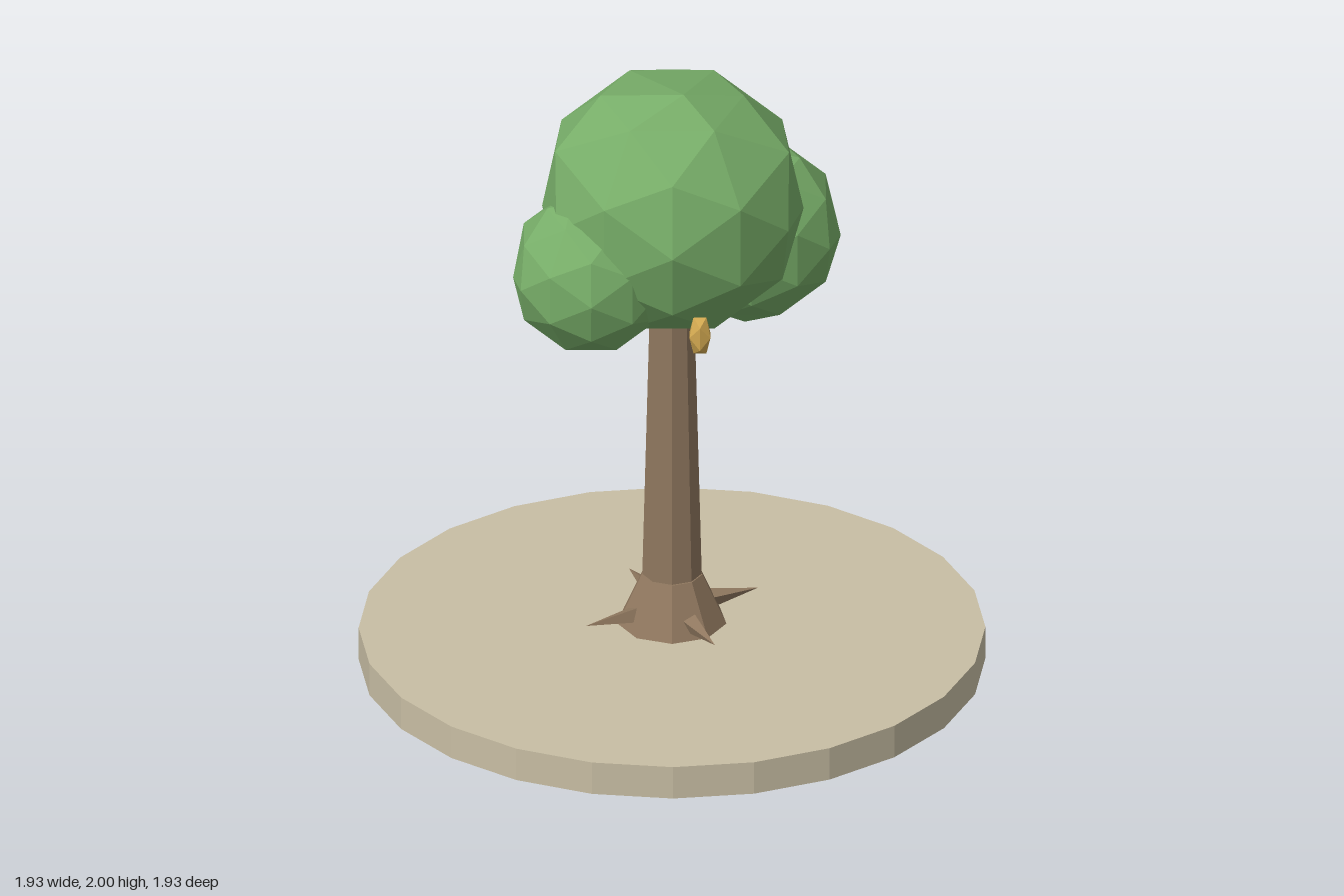
import * as THREE from 'three';

const flat = (name, color) => {
  const m = new THREE.MeshStandardMaterial({ color, flatShading: true });
  m.name = name;
  return m;
};

export function createModel() {
  const tree = new THREE.Group();
  tree.name = 'tree';
  const stone = flat('sand', 0xc8bea4);
  const bark = flat('bark', 0x90785f);
  const leaf = flat('leaf', 0x77ad68);
  const gold = flat('gold', 0xd2a850);

  const add = (name, geometry, material, x = 0, y = 0, z = 0) => {
    const mesh = new THREE.Mesh(geometry, material);
    mesh.name = name;
    mesh.position.set(x, y, z);
    tree.add(mesh);
    return mesh;
  };

  // Tapered limb between two points
  const limb = (name, from, to, r0, r1, sides) => {
    const a = new THREE.Vector3(...from), b = new THREE.Vector3(...to);
    const dir = b.clone().sub(a);
    const mesh = add(name, new THREE.CylinderGeometry(r1, r0, dir.length(), sides), bark);
    mesh.position.copy(a).add(b).multiplyScalar(0.5);
    mesh.quaternion.setFromUnitVectors(new THREE.Vector3(0, 1, 0), dir.normalize());
    return mesh;
  };

  // Round ground disc
  add('groundDisc', new THREE.CylinderGeometry(0.965, 0.965, 0.108, 24), stone, 0, 0.054, 0);

  // Trunk and its flared foot
  add('trunk', new THREE.CylinderGeometry(0.066, 0.093, 1.05, 9), bark, 0, 0.825, 0);
  add('trunkFoot', new THREE.CylinderGeometry(0.095, 0.17, 0.163, 9), bark, 0, 0.2165, 0);

  // Four pointed roots around the foot
  for (let i = 0; i < 4; i++) {
    const a = 0.46 + i * Math.PI / 2, s = Math.sin(a), c = Math.cos(a);
    limb('root', [s * 0.08, 0.18, c * 0.08], [s * 0.296, 0.178, c * 0.296], 0.04, 0, 4);
  }

  // Branch whose tip pokes out of the crown
  limb('branch', [-0.02, 1.2, 0], [-0.4, 1.47, -0.125], 0.035, 0.012, 5);

  // Faceted leaf clump; "moves" pulls chosen corners (unit directions) to new offsets
  const clump = (name, r, x, y, z, moves = []) => {
    const geometry = new THREE.IcosahedronGeometry(r, 1);
    const pos = geometry.attributes.position, v = new THREE.Vector3();
    for (let i = 0; i < pos.count; i++) {
      v.fromBufferAttribute(pos, i).normalize();
      for (const [dir, to] of moves) {
        if (v.distanceTo(new THREE.Vector3(...dir)) < 0.1) pos.setXYZ(i, ...to);
      }
    }
    geometry.computeVertexNormals();
    return add(name, geometry, leaf, x, y, z);
  };
  clump('mainCrown', 0.42, 0, 1.58, 0, [
    [[0, 1, 0], [0.035, 0.42, 0.12]],
    [[0, -1, 0], [0, -0.385, 0]],
    [[0, 0.526, -0.851], [0, 0.295, -0.305]],
    [[0.5, 0.309, -0.809], [0.25, 0.13, -0.34]],
    [[-0.5, 0.309, -0.809], [-0.25, 0.13, -0.34]],
    [[0.809, 0.5, 0.309], [0.36, 0.22, 0.12]],
    [[-0.809, 0.5, 0.309], [-0.36, 0.22, 0.11]],
    [[1, 0, 0], [0.405, 0, 0.06]],
    [[-1, 0, 0], [-0.4, 0, 0.04]],
  ]);
  clump('rightCrown', 0.255, -0.25, 1.41, 0.155, [
    [[-1, 0, 0], [-0.24, 0, 0.04]],
    [[0, 1, 0], [-0.06, 0.25, 0.03]],
  ]);
  clump('leftCrown', 0.283, 0.245, 1.397, -0.17, [
    [[1, 0, 0], [0.275, 0, 0.05]],
    [[0, -1, 0], [-0.02, -0.283, 0.08]],
  ]);

  // Hanging golden fruit
  for (const [x, y, z] of [[0.085, 1.262, 0.3], [-0.21, 1.265, -0.27]]) {
    add('fruit', new THREE.IcosahedronGeometry(1, 0), gold, x, y, z).scale.set(0.038, 0.073, 0.038);
  }
  return tree;
}
